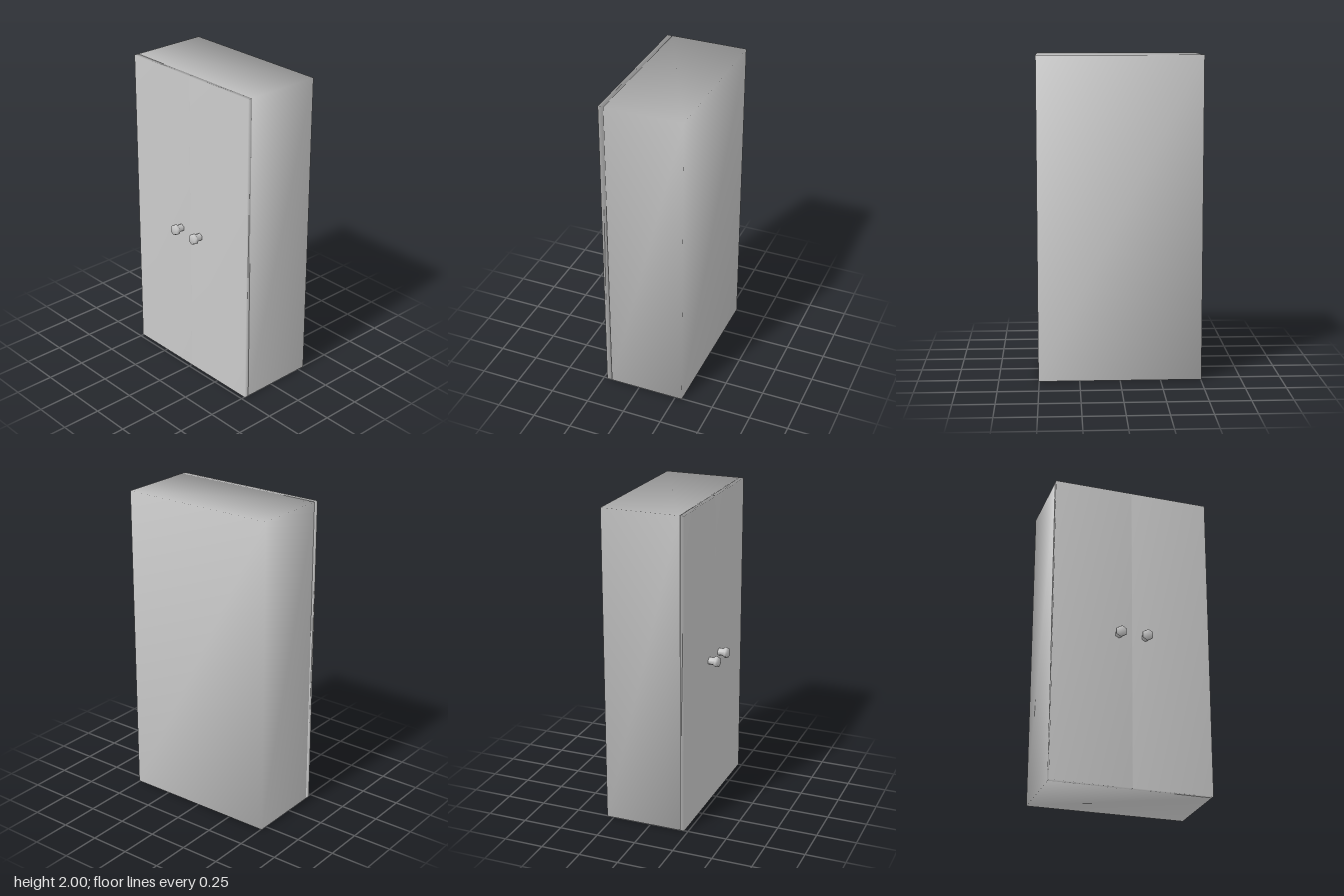
import * as THREE from 'three';
import { mergeVertices } from 'three/addons/utils/BufferGeometryUtils.js';

const material = new THREE.MeshStandardMaterial({ color: 0xcccccc });

// Box given by its limits, with corners welded so the shading is smooth all round
function smoothBox(name, [x0, x1], [y0, y1], [z0, z1]) {
  let geometry = new THREE.BoxGeometry(x1 - x0, y1 - y0, z1 - z0);
  geometry.deleteAttribute('normal');
  geometry.deleteAttribute('uv');
  geometry = mergeVertices(geometry);
  geometry.computeVertexNormals();
  geometry.translate((x0 + x1) / 2, (y0 + y1) / 2, (z0 + z1) / 2);
  const mesh = new THREE.Mesh(geometry, material);
  mesh.name = name;
  return mesh;
}

// Six-sided knob turned around its axis, pointing to the front
function knob(name, x) {
  const profile = [[0.025, 0], [0.025, 0.032], [0.037, 0.045], [0.036, 0.052], [0.03, 0.067], [0, 0.067]]
    .map(([r, h]) => new THREE.Vector2(r, h));
  const mesh = new THREE.Mesh(new THREE.LatheGeometry(profile, 6).rotateX(Math.PI / 2), material);
  mesh.position.set(x, 0.977, 0.225);
  mesh.name = name;
  return mesh;
}

export function createModel() {
  const wardrobe = new THREE.Group();
  wardrobe.name = 'wardrobe';

  // Cabinet body
  wardrobe.add(smoothBox('cabinetBody', [-0.505, 0.505], [0, 2], [-0.295, 0.193]));

  // Two doors just clear of the body, each with a knob near the middle
  for (const [side, s] of [['left', 1], ['right', -1]]) {
    const limits = [s * 0.001, s * 0.505].sort((a, b) => a - b);
    wardrobe.add(smoothBox(side + 'Door', limits, [0, 2], [0.198, 0.226]));
    wardrobe.add(knob(side + 'Knob', s * 0.085));
  }
  return wardrobe;
}
